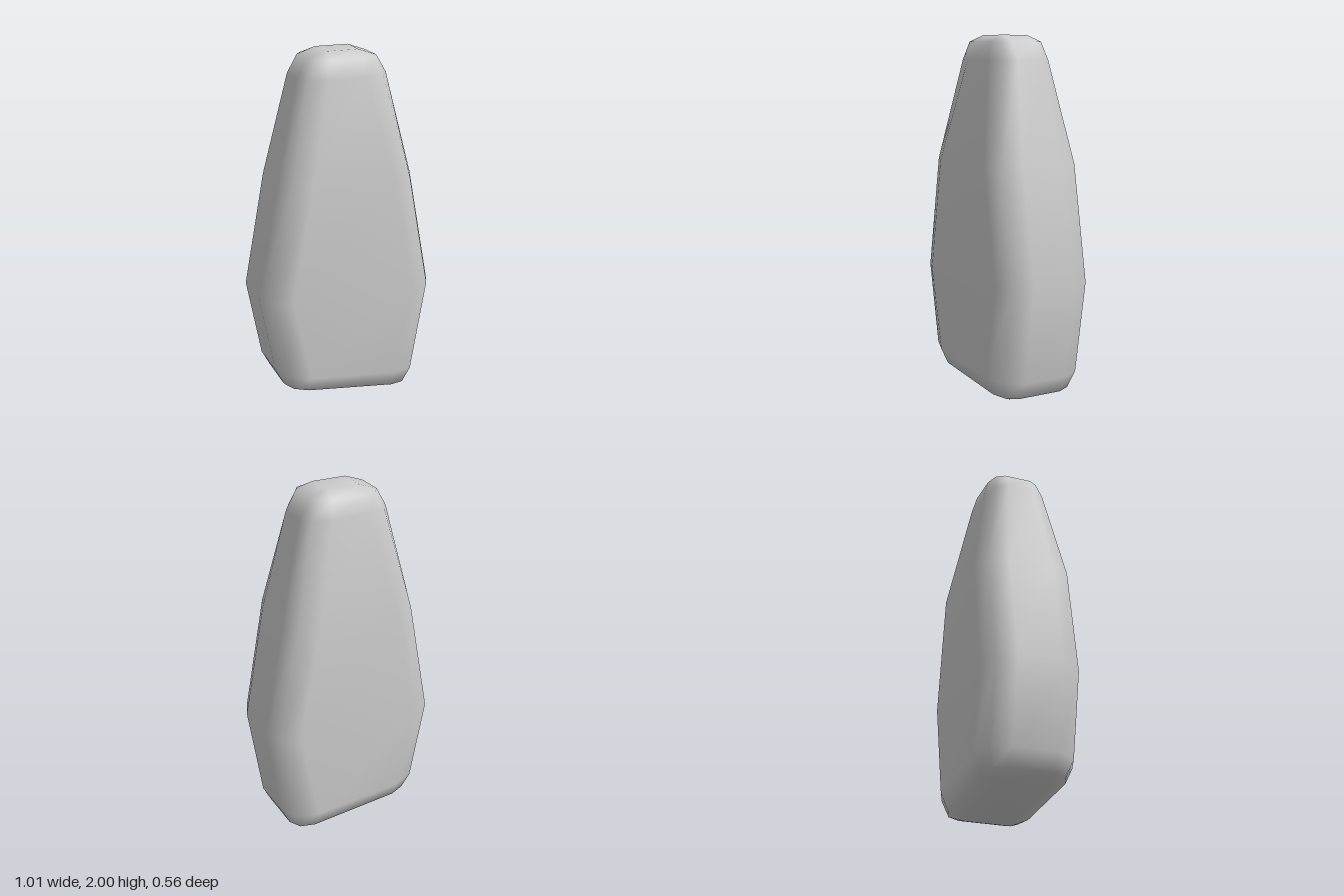
import * as THREE from 'three';
import { mergeVertices } from 'three/addons/utils/BufferGeometryUtils.js';

// Cross-sections from the base up. hx, hz: outer half sizes;
// ix, iz: where the rounded corner begins; tilt: slope of y along x.
const sections = [
  { y: 0.035, tilt: 0.135, hx: 0.255, hz: 0.13, ix: 0.255, iz: 0.13 },
  { y: 0.075, tilt: 0.11, hx: 0.37, hz: 0.235, ix: 0.255, iz: 0.13 },
  { y: 0.17, tilt: 0.095, hx: 0.42, hz: 0.28, ix: 0.25, iz: 0.13 },
  { y: 0.66, tilt: 0, hx: 0.505, hz: 0.28, ix: 0.355, iz: 0.13 },
  { y: 1.3, tilt: 0, hx: 0.388, hz: 0.28, ix: 0.24, iz: 0.13 },
  { y: 1.865, tilt: 0, hx: 0.256, hz: 0.175, ix: 0.11, iz: 0.08 },
  { y: 1.963, tilt: 0, hx: 0.2, hz: 0.148, ix: 0.095, iz: 0.08 },
  { y: 2.0, tilt: 0, hx: 0.095, hz: 0.08, ix: 0.095, iz: 0.08 },
];

// Twelve points: three per corner, counter-clockwise seen from above
function ring({ y, tilt, hx, hz, ix, iz }) {
  const corner = [[ix, hz], [ix + 0.7 * (hx - ix), iz + 0.7 * (hz - iz)], [hx, iz]];
  const points = [];
  for (const [sx, sz] of [[1, 1], [1, -1], [-1, -1], [-1, 1]]) {
    const run = sx * sz > 0 ? corner : [...corner].reverse();
    for (const [x, z] of run) points.push([sx * x, y - tilt * sx * x, sz * z]);
  }
  return points;
}

function loft(rings) {
  const n = rings[0].length;
  const positions = rings.flat(2);
  const index = [];
  // Sides
  for (let i = 0; i < rings.length - 1; i++) {
    for (let j = 0; j < n; j++) {
      const k = (j + 1) % n;
      const a = i * n + j, b = i * n + k, c = b + n, d = a + n;
      index.push(a, b, c, a, c, d);
    }
  }
  // Base and top caps
  const top = (rings.length - 1) * n;
  for (let j = 1; j < n - 1; j++) {
    index.push(0, j + 1, j);
    index.push(top, top + j, top + j + 1);
  }
  const geometry = new THREE.BufferGeometry();
  geometry.setAttribute('position', new THREE.Float32BufferAttribute(positions, 3));
  geometry.setIndex(index);
  // Weld coincident corner points and drop collapsed triangles
  const welded = mergeVertices(geometry);
  const old = welded.index.array, kept = [];
  for (let i = 0; i < old.length; i += 3) {
    const [a, b, c] = [old[i], old[i + 1], old[i + 2]];
    if (a !== b && b !== c && c !== a) kept.push(a, b, c);
  }
  welded.setIndex(kept);
  welded.computeVertexNormals();
  return welded;
}

export function createModel() {
  const group = new THREE.Group();
  group.name = 'standingStone';
  const stone = new THREE.Mesh(
    loft(sections.map(ring)),
    new THREE.MeshStandardMaterial({ color: 0xcccccc })
  );
  stone.name = 'stoneBody';
  group.add(stone);
  return group;
}
